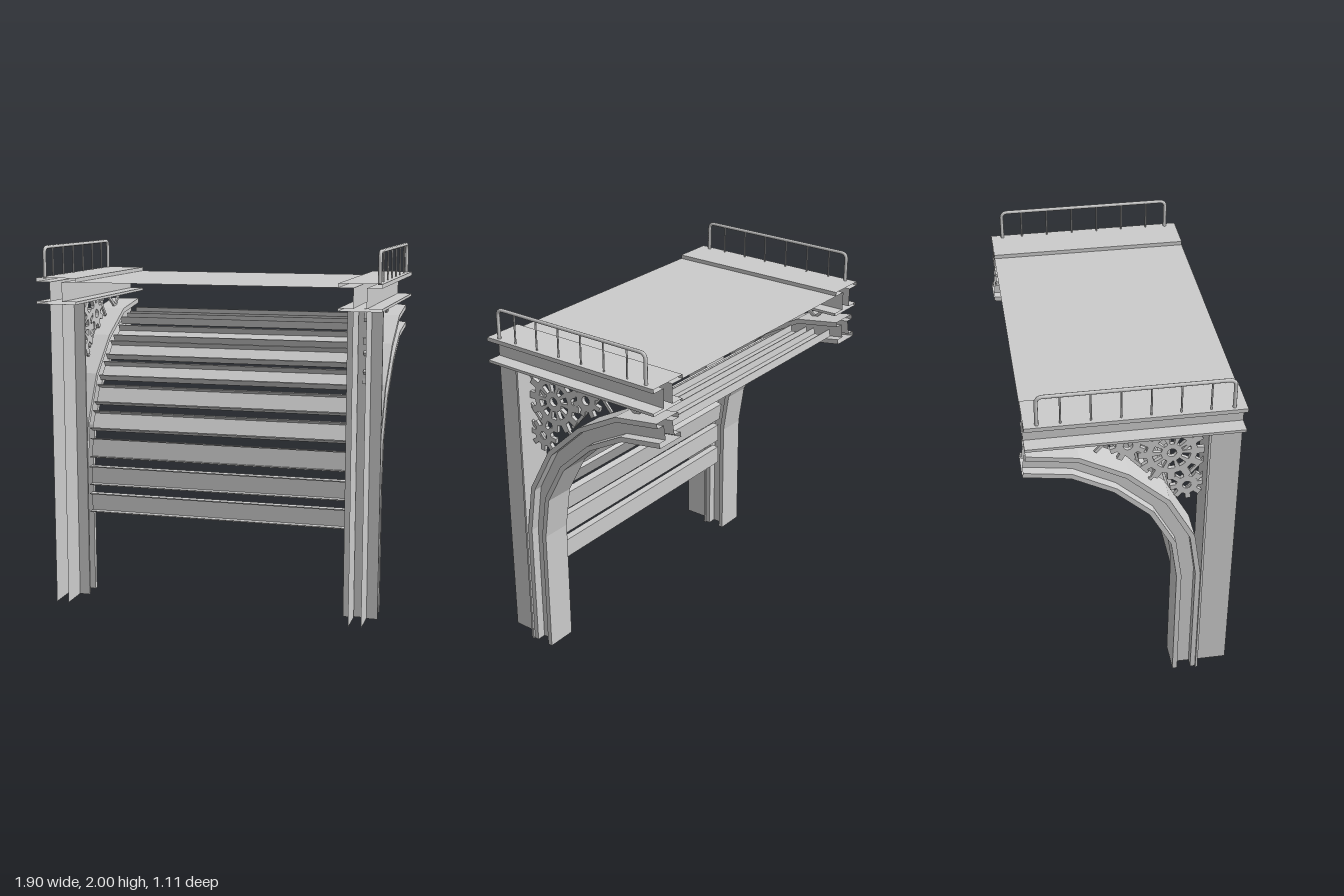
import * as THREE from 'three';

const mat = new THREE.MeshStandardMaterial({ color: 0xcccccc, side: THREE.DoubleSide, flatShading: true });
const smooth = new THREE.MeshStandardMaterial({ color: 0xcccccc });
const SIDE_X = 0.835;

function add(parent, name, geo, x = 0, y = 0, z = 0, material = mat) {
  const m = new THREE.Mesh(geo, material);
  m.name = name;
  m.position.set(x, y, z);
  parent.add(m);
  return m;
}

// Sweep an open-ended profile of [x, depth] along a path of [z, y] with mitred corners
function sweep(profile, path) {
  const dir = (a, b) => new THREE.Vector2(b[0] - a[0], b[1] - a[1]).normalize();
  const rings = path.map((p, i) => {
    const t0 = dir(path[Math.max(i - 1, 0)], path[Math.max(i, 1)]);
    const t1 = i < path.length - 1 ? dir(p, path[i + 1]) : t0;
    const t = t0.clone().add(t1).normalize();
    const k = 1 / t.dot(t1);
    return profile.map(([x, d]) => [x, p[1] - t.x * d * k, p[0] + t.y * d * k]);
  });
  const pos = [];
  for (let i = 0; i < rings.length - 1; i++)
    for (let j = 0; j < profile.length - 1; j++) {
      const a = rings[i][j], b = rings[i][j + 1], c = rings[i + 1][j + 1], d = rings[i + 1][j];
      pos.push(...a, ...d, ...c, ...a, ...c, ...b);
    }
  const g = new THREE.BufferGeometry();
  g.setAttribute('position', new THREE.Float32BufferAttribute(pos, 3));
  g.computeVertexNormals();
  return g;
}

// I-section outline: half flange width, half web width, depth, flange thicknesses
function iSection(w, web, h, top, bottom) {
  return [[-w, -h], [w, -h], [w, bottom - h], [web, bottom - h], [web, -top], [w, -top], [w, 0],
    [-w, 0], [-w, -top], [-web, -top], [-web, bottom - h], [-w, bottom - h], [-w, -h]];
}

// Gear in the z-y plane, with a bore and optional openings between spokes
function gearGeometry(teeth, rOut, rRoot, bore, spokes = 0, rimIn = 0, hub = 0, phase = 0) {
  const s = new THREE.Shape();
  const step = (Math.PI * 2) / teeth;
  for (let i = 0; i < teeth; i++)
    [[-0.29, rRoot], [-0.2, rOut], [0.2, rOut], [0.29, rRoot]].forEach(([f, r], k) => {
      const a = phase + (i + f) * step;
      s[i + k ? 'lineTo' : 'moveTo'](r * Math.cos(a), r * Math.sin(a));
    });
  s.closePath();
  const hole = new THREE.Path();
  hole.absarc(0, 0, bore, 0, Math.PI * 2, true);
  s.holes.push(hole);
  for (let i = 0; i < spokes; i++) {
    const a0 = ((i + 0.2) / spokes) * Math.PI * 2, a1 = ((i + 0.8) / spokes) * Math.PI * 2;
    const h = new THREE.Path();
    h.absarc(0, 0, rimIn, a0, a1, false);
    h.absarc(0, 0, hub, a1, a0, true);
    h.closePath();
    s.holes.push(h);
  }
  const g = new THREE.ExtrudeGeometry(s, { depth: 0.022, bevelEnabled: false, curveSegments: 6 });
  return g.translate(0, 0, -0.011).rotateY(-Math.PI / 2);
}

const archOuter = [[0.365, 0], [0.365, 0.73], [0.325, 1.0], [0.185, 1.26], [-0.03, 1.46], [-0.28, 1.595], [-0.545, 1.635]];
const archMiddle = [[0.3, 0], [0.3, 0.73], [0.265, 0.985], [0.138, 1.225], [-0.06, 1.41], [-0.29, 1.535], [-0.545, 1.57]];

// Lattice bars as [z0, y0, z1, y1]
const bars = [
  [0.375, 1.64, 0.09, 1.35], [0.375, 1.46, 0.21, 1.27], [0.36, 1.685, 0.375, 1.62],
  [-0.17, 1.685, 0.08, 1.4], [-0.08, 1.685, -0.19, 1.56], [-0.44, 1.685, -0.33, 1.58],
  [-0.22, 1.685, -0.37, 1.59], [0.375, 1.36, 0.28, 1.26],
];

function buildSide(s) {
  const g = new THREE.Group();
  g.name = s > 0 ? 'leftSide' : 'rightSide';
  g.position.x = s * SIDE_X;

  // Upright column, open at the front
  add(g, 'column', sweep([[-0.035, 0.55], [-0.035, 0.378], [-0.095, 0.378], [-0.095, 0.366],
    [0.095, 0.366], [0.095, 0.378], [0.035, 0.378], [0.035, 0.55]], [[0, 0], [0, 1.685]]));
  // Curved bracket and the beam under the deck
  add(g, 'archBeam', sweep(iSection(0.085, 0.035, 0.13, 0.027, 0.027), archOuter));
  add(g, 'topBeam', sweep(iSection(0.115, 0.035, 0.143, 0.022, 0.015), [[0.55, 1.828], [-0.55, 1.828]]));

  // Gears in the corner
  add(g, 'largeGear', gearGeometry(12, 0.175, 0.132, 0.025, 10, 0.1, 0.055), 0, 1.515, 0.2);
  add(g, 'upperGear', gearGeometry(8, 0.095, 0.063, 0.025, 0, 0, 0, 0.3), 0, 1.585, -0.025);
  add(g, 'lowerGear', gearGeometry(8, 0.09, 0.058, 0.023, 0, 0, 0, 0.1), 0, 1.295, 0.285);

  // Lattice
  for (const [z0, y0, z1, y1] of bars) {
    const b = add(g, 'latticeBar', new THREE.BoxGeometry(0.012, Math.hypot(z1 - z0, y1 - y0), 0.017),
      0, (y0 + y1) / 2, (z0 + z1) / 2);
    b.rotation.x = Math.atan2(z1 - z0, y1 - y0);
  }

  // Railing
  const railX = s * 0.09, top = 1.99, low = 1.82, end = 0.485, r = 0.035;
  const v = (y, z) => new THREE.Vector3(railX, y, z);
  const path = new THREE.CurvePath();
  path.add(new THREE.LineCurve3(v(low, end), v(top - r, end)));
  path.add(new THREE.QuadraticBezierCurve3(v(top - r, end), v(top, end), v(top, end - r)));
  path.add(new THREE.LineCurve3(v(top, end - r), v(top, r - end)));
  path.add(new THREE.QuadraticBezierCurve3(v(top, r - end), v(top, -end), v(top - r, -end)));
  path.add(new THREE.LineCurve3(v(top - r, -end), v(low, -end)));
  add(g, 'handrail', new THREE.TubeGeometry(path, 120, 0.01, 8), 0, 0, 0, smooth);
  for (let i = 0; i < 6; i++)
    add(g, 'railPost', new THREE.CylinderGeometry(0.005, 0.005, top - low, 6), railX, (top + low) / 2, (i - 2.5) * 0.148, smooth);
  return g;
}

// Channel slats that follow the arch from side to side
function buildSlats() {
  const g = new THREE.Group();
  g.name = 'slats';
  const len = 1.5, width = 0.11, depth = 0.04, t = 0.006;
  for (let i = 0; i < 10; i++) {
    let dist = 0.53 + i * 0.158, k = 0, seg;
    for (; k < archMiddle.length - 1; k++) {
      seg = Math.hypot(archMiddle[k + 1][0] - archMiddle[k][0], archMiddle[k + 1][1] - archMiddle[k][1]);
      if (dist <= seg || k === archMiddle.length - 2) break;
      dist -= seg;
    }
    const [z0, y0] = archMiddle[k], [z1, y1] = archMiddle[k + 1], f = dist / seg;
    const slat = new THREE.Group();
    slat.name = 'slat';
    slat.position.set(0, y0 + (y1 - y0) * f, z0 + (z1 - z0) * f);
    slat.rotation.x = Math.atan2(z1 - z0, y1 - y0);
    add(slat, 'slatWeb', new THREE.BoxGeometry(len, width, t), 0, 0, -depth / 2);
    for (const e of [-1, 1])
      add(slat, 'slatLip', new THREE.BoxGeometry(len, t, depth), 0, e * (width - t) / 2, 0);
    g.add(slat);
  }
  return g;
}

export function createModel() {
  const model = new THREE.Group();
  model.name = 'archedPlatform';
  model.add(buildSide(1), buildSide(-1), buildSlats());
  // Thin deck sheet between the two top beams
  add(model, 'deck', new THREE.PlaneGeometry(1.44, 1.1).rotateX(-Math.PI / 2), 0, 1.806, 0);
  return model;
}
